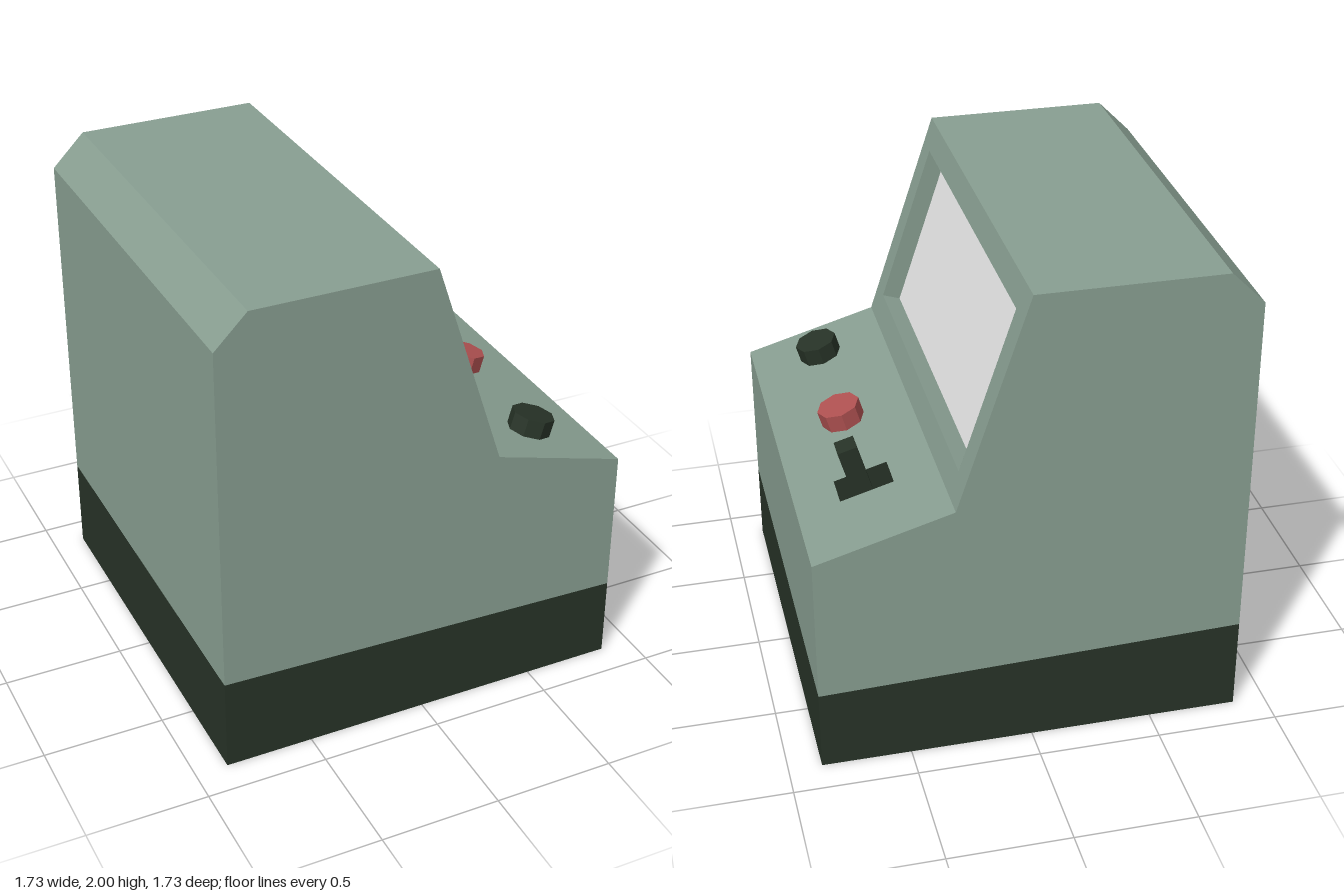
import * as THREE from 'three';

const material = (name, color) => {
  const m = new THREE.MeshStandardMaterial({ color, side: THREE.DoubleSide });
  m.name = name;
  return m;
};

export function createModel() {
  const green = material('sage green', 0x889e91);
  const dark = material('dark green', 0x273327);
  const white = material('pale grey', 0xe7e7e7);
  const red = material('button red', 0xaf5151);
  const model = new THREE.Group();
  model.name = 'arcadeCabinet';
  const W = 0.865;

  const add = (name, geometry, mat, parent = model) => {
    const mesh = new THREE.Mesh(geometry, mat);
    mesh.name = name;
    parent.add(mesh);
    return mesh;
  };
  const polygon = (pts) => pts.map(([x, y]) => new THREE.Vector2(x, y));
  const rect = (x0, y0, x1, y1) => polygon([[x0, y0], [x1, y0], [x1, y1], [x0, y1]]);

  // Flat panel running from a to b in the side profile, facing right of a->b.
  // hole = [z0, z1, start, end], the last two measured along a->b.
  const panel = (name, a, b, mat, half = W, hole) => {
    const along = new THREE.Vector3(b[0] - a[0], b[1] - a[1], 0);
    const length = along.length();
    const shape = new THREE.Shape(rect(-half, 0, half, length));
    if (hole) shape.holes.push(new THREE.Path(rect(-hole[1], hole[2], -hole[0], hole[3])));
    const across = new THREE.Vector3(0, 0, -1);
    along.normalize();
    const matrix = new THREE.Matrix4().makeBasis(across, along, across.clone().cross(along));
    matrix.setPosition(a[0], a[1], 0);
    add(name, new THREE.ShapeGeometry(shape).applyMatrix4(matrix), mat);
  };

  // Matching profile plates on both sides; inward flips the facing
  const sidePair = (name, pts, z, mat, inward = false) => {
    for (const s of [1, -1]) {
      const geometry = new THREE.ShapeGeometry(new THREE.Shape(polygon(pts)));
      if ((s < 0) !== inward) geometry.rotateY(Math.PI).scale(-1, 1, 1);
      // restore winding after the mirror so each plate faces its own side
      if ((s < 0) !== inward) {
        const index = geometry.index.array;
        for (let i = 0; i < index.length; i += 3) {
          [index[i], index[i + 1]] = [index[i + 1], index[i]];
        }
        geometry.computeVertexNormals();
      }
      geometry.translate(0, 0, s * z);
      add(name + (s > 0 ? 'Near' : 'Far'), geometry, mat);
    }
  };

  // Side profile corners
  const baseFront = [W, 0.345], baseBack = [-W, 0.4];
  const floorFront = [W, 0], floorBack = [-W, 0];
  const lip = [W, 0.96], crease = [0.31, 1.12], brow = [0.02, 2];
  const crown = [-0.73, 2], shoulder = [-W, 1.865];

  // Cabinet shell
  sidePair('cabinetSide', [baseFront, lip, crease, brow, crown, shoulder, baseBack], W, green);
  panel('cabinetFront', baseFront, lip, green);
  panel('controlPanel', lip, crease, green, W, [-0.52, -0.37, 0.177, 0.4]);
  panel('screenSurround', crease, brow, green, W, [-0.755, 0.755, 0.116, 0.816]);
  panel('cabinetTop', brow, crown, green);
  panel('backBevel', crown, shoulder, green);
  panel('cabinetBack', shoulder, baseBack, green);

  // Dark plinth and pale floor
  sidePair('plinthSide', [floorFront, baseFront, baseBack, floorBack], W, dark);
  panel('plinthFront', floorFront, baseFront, dark);
  panel('plinthBack', baseBack, floorBack, dark);
  panel('floor', floorBack, floorFront, white);

  // Recessed screen
  const low = [0.274, 1.23], high = [0.055, 1.895];
  const lowIn = [0.2, 1.206], highIn = [-0.019, 1.871];
  panel('recessSill', low, lowIn, green, 0.755);
  panel('recessHead', highIn, high, green, 0.755);
  sidePair('recessSide', [low, high, highIn, lowIn], 0.755, green, true);
  panel('screen', lowIn, highIn, white, 0.755);

  // Buttons and stick, square to the sloping control panel
  const tilt = -Math.atan2(0.16, 0.555);
  const place = (mesh, x, y, z) => {
    mesh.position.set(x, y, z);
    mesh.rotation.z = tilt;
  };
  const knob = new THREE.CylinderGeometry(0.09, 0.09, 0.075, 8).toNonIndexed();
  knob.computeVertexNormals();
  place(add('redButton', knob, red), 0.593, 1.077, 0.045);
  place(add('darkButton', knob, dark), 0.593, 1.077, 0.625);
  place(add('joystick', new THREE.BoxGeometry(0.08, 0.236, 0.09), dark), 0.62, 1.096, -0.433);

  return model;
}
